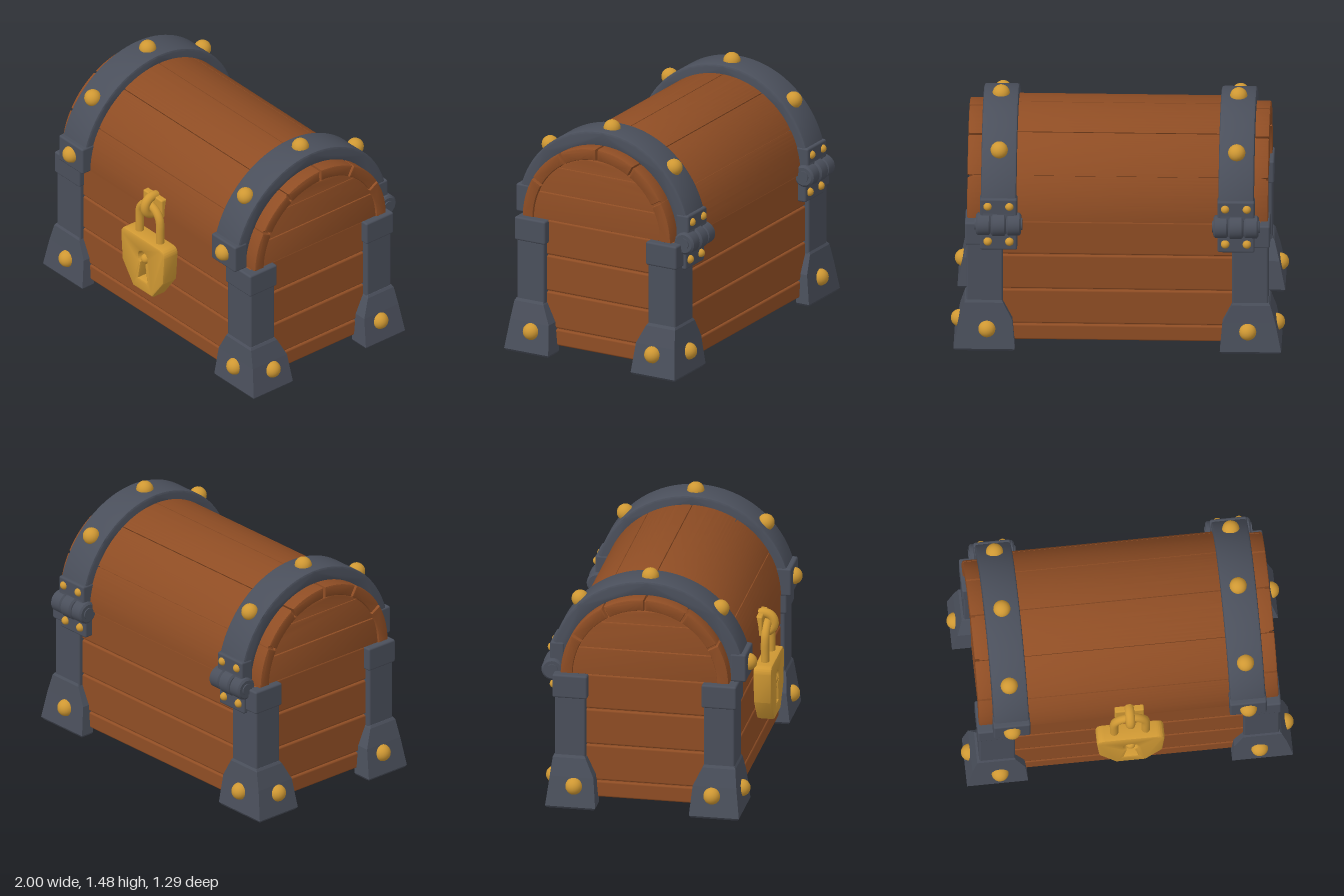
import * as THREE from 'three';
import { toCreasedNormals } from 'three/addons/utils/BufferGeometryUtils.js';
import { RoundedBoxGeometry } from 'three/addons/geometries/RoundedBoxGeometry.js';

const material = (name, color) => {
  const m = new THREE.MeshStandardMaterial({ color });
  m.name = name;
  return m;
};

const LID_Y = 0.835; // hinge line, centre of the lid arch

export function createModel() {
  const wood = material('wood', 0x8f4d24);
  const iron = material('iron', 0x4a4f5b);
  const gold = material('gold', 0xcf9833);
  const chest = new THREE.Group();
  chest.name = 'treasureChest';

  const add = (name, geometry, mat, x = 0, y = 0, z = 0) => {
    const mesh = new THREE.Mesh(geometry, mat);
    mesh.name = name;
    mesh.position.set(x, y, z);
    chest.add(mesh);
    return mesh;
  };

  // Soft-edged box given by its limits
  const block = (name, mat, [x0, x1], [y0, y1], [z0, z1], r = 0.012) =>
    add(name, new RoundedBoxGeometry(x1 - x0, y1 - y0, z1 - z0, 2, r), mat,
      (x0 + x1) / 2, (y0 + y1) / 2, (z0 + z1) / 2);

  const stud = (name, x, y, z, r = 0.052) =>
    add(name, new THREE.SphereGeometry(r, 20, 14), gold, x, y, z);

  // Bevelled extrusion that keeps the outline's size
  const extrude = (shape, depth, bevel) => toCreasedNormals(
    new THREE.ExtrudeGeometry(shape, {
      depth: depth - 2 * bevel, curveSegments: 32, bevelThickness: bevel,
      bevelSize: bevel, bevelOffset: -bevel, bevelSegments: 2,
    }).translate(0, 0, bevel), 0.6);

  // Profile in the z-y plane, extruded along x from x0 to x1 at the lid centre
  const alongX = (name, shape, mat, x0, x1, bevel) =>
    add(name, extrude(shape, x1 - x0, bevel).rotateY(Math.PI / 2), mat, x0, LID_Y, 0);

  const sector = (r0, r1, a0, a1) => {
    const s = new THREE.Shape();
    s.absarc(0, 0, r1, a0, a1, false);
    s.absarc(0, 0, r0, a1, a0, true);
    s.closePath();
    return s;
  };

  // Horizontal slice of a half disc
  const slice = (r, y0, y1) => {
    const a0 = Math.asin(y0 / r), a1 = Math.asin(y1 / r);
    const s = new THREE.Shape();
    s.absarc(0, 0, r, a0, a1, false);
    s.absarc(0, 0, r, Math.PI - a1, Math.PI - a0, false);
    s.closePath();
    return s;
  };

  // Body: a core with stacked planks around it
  block('bodyCore', wood, [-0.85, 0.85], [0.047, 0.835], [-0.508, 0.508], 0.005);
  [0.045, 0.153, 0.382, 0.61, 0.835].forEach((y, i, ys) => {
    if (i) block('bodyPlank', wood, [-0.865, 0.865], [ys[i - 1] + 0.003, y - 0.003], [-0.522, 0.522]);
  });

  // Lid: core, curved planks, end rims and end boards
  alongX('lidCore', sector(0.001, 0.523, 0, Math.PI), wood, -0.79, 0.79, 0.002);
  const step = Math.PI / 6;
  for (let i = 0; i < 6; i++) {
    const a0 = i * step, a1 = a0 + step;
    alongX('lidPlank', sector(0.47, 0.54, a0 + 0.005, a1 - 0.005), wood, -0.8, 0.8, 0.01);
    for (const x of [-0.9, 0.78])
      alongX('lidRimPlank', sector(0.44, 0.512, a0 + 0.014, a1 - 0.014), wood, x, x + 0.12, 0.01);
  }
  for (const s of [-1, 1]) {
    const x = s > 0 ? 0.78 : -0.87;
    alongX('lidEndCore', sector(0.001, 0.49, 0, Math.PI), wood, x, x + 0.09, 0.002);
    [0, 0.178, 0.35, 0.436].forEach((y, i, ys) => {
      if (i) alongX('lidEndBoard', slice(0.442, ys[i - 1] + 0.004, y - 0.003), wood,
        s > 0 ? 0.79 : -0.885, s > 0 ? 0.885 : -0.79, 0.007);
    });
  }

  // Foot: L-shaped cross-sections joined upwards; rows are y, outer x, outer z, inner x, inner z
  const footGeometry = (sx, sz) => {
    const rows = [
      [0, 0.968, 0.58, 0.625, 0.295], [0.015, 0.98, 0.59, 0.613, 0.285],
      [0.195, 0.945, 0.568, 0.628, 0.302], [0.305, 0.915, 0.556, 0.683, 0.355],
      [0.32, 0.905, 0.548, 0.69, 0.365],
    ];
    const nx = 0.85, nz = 0.5;
    const rings = rows.map(([y, xo, zo, xi, zi]) => {
      const ring = [[xo, zo], [xo, zi], [nx, zi], [nx, nz], [xi, nz], [xi, zo]]
        .map(([x, z]) => [x * sx, y, z * sz]);
      // keep the corner order outward when mirrored
      return sx * sz < 0 ? [ring[0], ...ring.slice(1).reverse()] : ring;
    });
    const p = [];
    const tri = (a, b, c) => p.push(...a, ...b, ...c);
    for (let k = 0; k + 1 < rings.length; k++)
      for (let i = 0; i < 6; i++) {
        const j = (i + 1) % 6, lo = rings[k], hi = rings[k + 1];
        tri(lo[i], lo[j], hi[j]);
        tri(lo[i], hi[j], hi[i]);
      }
    const bottom = rings[0], top = rings[rings.length - 1];
    for (let i = 1; i < 5; i++) {
      tri(bottom[0], bottom[i + 1], bottom[i]);
      tri(top[0], top[i], top[i + 1]);
    }
    const g = new THREE.BufferGeometry();
    g.setAttribute('position', new THREE.Float32BufferAttribute(p, 3));
    g.computeVertexNormals();
    return g;
  };

  // Corner posts with caps, feet and studs
  const span = (s, a, b) => (s > 0 ? [a, b] : [-b, -a]);
  for (const sx of [-1, 1]) for (const sz of [-1, 1]) {
    block('cornerPost', iron, span(sx, 0.685, 0.902), [0.28, 0.72], span(sz, 0.36, 0.548));
    block('postCap', iron, span(sx, 0.678, 0.912), [0.685, 0.832], span(sz, 0.348, 0.56));
    add('foot', footGeometry(sx, sz), iron);
    stud('footStud', sx * 0.78, 0.14, sz * 0.57);
    stud('footSideStud', sx * 0.948, 0.14, sz * 0.42);
  }

  // Lid bands, front clasps and hinges
  for (const sx of [-1, 1]) {
    const cx = sx * 0.71;
    alongX('lidBand', sector(0.505, 0.597, 0, Math.PI), iron, cx - 0.106, cx + 0.106, 0.014);
    block('bandEnd', iron, [cx - 0.111, cx + 0.111], [0.832, 1.008], [0.505, 0.602]);
    stud('bandStud', cx, 0.925, 0.598);
    stud('bandStud', cx, 1.255, 0.428);
    stud('bandStud', cx, 1.43, 0);
    stud('bandStud', cx, 1.255, -0.428);

    block('hingeUpperPlate', iron, [cx - 0.111, cx + 0.111], [0.84, 1.005], [-0.592, -0.505]);
    block('hingeLowerPlate', iron, [cx - 0.111, cx + 0.111], [0.662, 0.83], [-0.575, -0.505]);
    for (const k of [-1, 0, 1]) {
      const r = k ? 0.068 : 0.073;
      const knuckle = new THREE.LatheGeometry([[0, -0.044], [r - 0.012, -0.044], [r, -0.034],
        [r, 0.034], [r - 0.012, 0.044], [0, 0.044]].map(([x, y]) => new THREE.Vector2(x, y)), 24);
      add('hingeKnuckle', toCreasedNormals(knuckle.rotateZ(Math.PI / 2), 0.5), iron, cx + k * 0.091, 0.835, -0.572);
      const pin = new THREE.CylinderGeometry(0.036, 0.036, 0.02, 20).rotateZ(Math.PI / 2);
      if (k) add('hingePin', pin, iron, cx + k * 0.132, 0.835, -0.572);
    }
    for (const dx of [-0.065, 0.065]) {
      stud('hingeStud', cx + dx, 0.957, -0.587, 0.026);
      stud('hingeStud', cx + dx, 0.72, -0.575, 0.026);
    }
  }

  // Padlock body with a keyhole cut through it
  const lock = new THREE.Shape();
  lock.moveTo(-0.09, 0.315);
  lock.lineTo(0.09, 0.315);
  lock.lineTo(0.19, 0.455);
  lock.lineTo(0.204, 0.64);
  lock.quadraticCurveTo(0.2, 0.685, 0.155, 0.685);
  lock.lineTo(-0.155, 0.685);
  lock.quadraticCurveTo(-0.2, 0.685, -0.204, 0.64);
  lock.lineTo(-0.19, 0.455);
  lock.closePath();
  const keyhole = new THREE.Path();
  keyhole.moveTo(0.04, 0.395);
  keyhole.lineTo(-0.04, 0.395);
  keyhole.lineTo(-0.02, 0.51);
  keyhole.absarc(0, 0.55, 0.042, -2.06, -1.08 - Math.PI * 2, true);
  keyhole.lineTo(0.02, 0.51);
  keyhole.closePath();
  lock.holes.push(keyhole);
  add('padlock', extrude(lock, 0.112, 0.014), gold, 0, 0, 0.526);
  stud('keyholePin', 0, 0.538, 0.61, 0.03);

  // Shackle, staple ring and hasp plate
  const path = [[-0.095, 0.66], [-0.095, 0.73]];
  for (let i = 0; i <= 8; i++) {
    const a = Math.PI * (1 - i / 8);
    path.push([0.095 * Math.cos(a), 0.81 + 0.095 * Math.sin(a)]);
  }
  path.push([0.095, 0.73], [0.095, 0.66]);
  const curve = new THREE.CatmullRomCurve3(path.map(([x, y]) => new THREE.Vector3(x, y, 0)));
  add('shackle', new THREE.TubeGeometry(curve, 48, 0.026, 14), gold, 0, 0, 0.578);
  add('stapleRing', new THREE.TorusGeometry(0.06, 0.029, 14, 32).rotateY(Math.PI / 2), gold, 0, 0.9, 0.555);
  block('haspPlate', gold, [-0.088, 0.088], [0.838, 0.965], [0.49, 0.56], 0.01);

  return chest;
}
